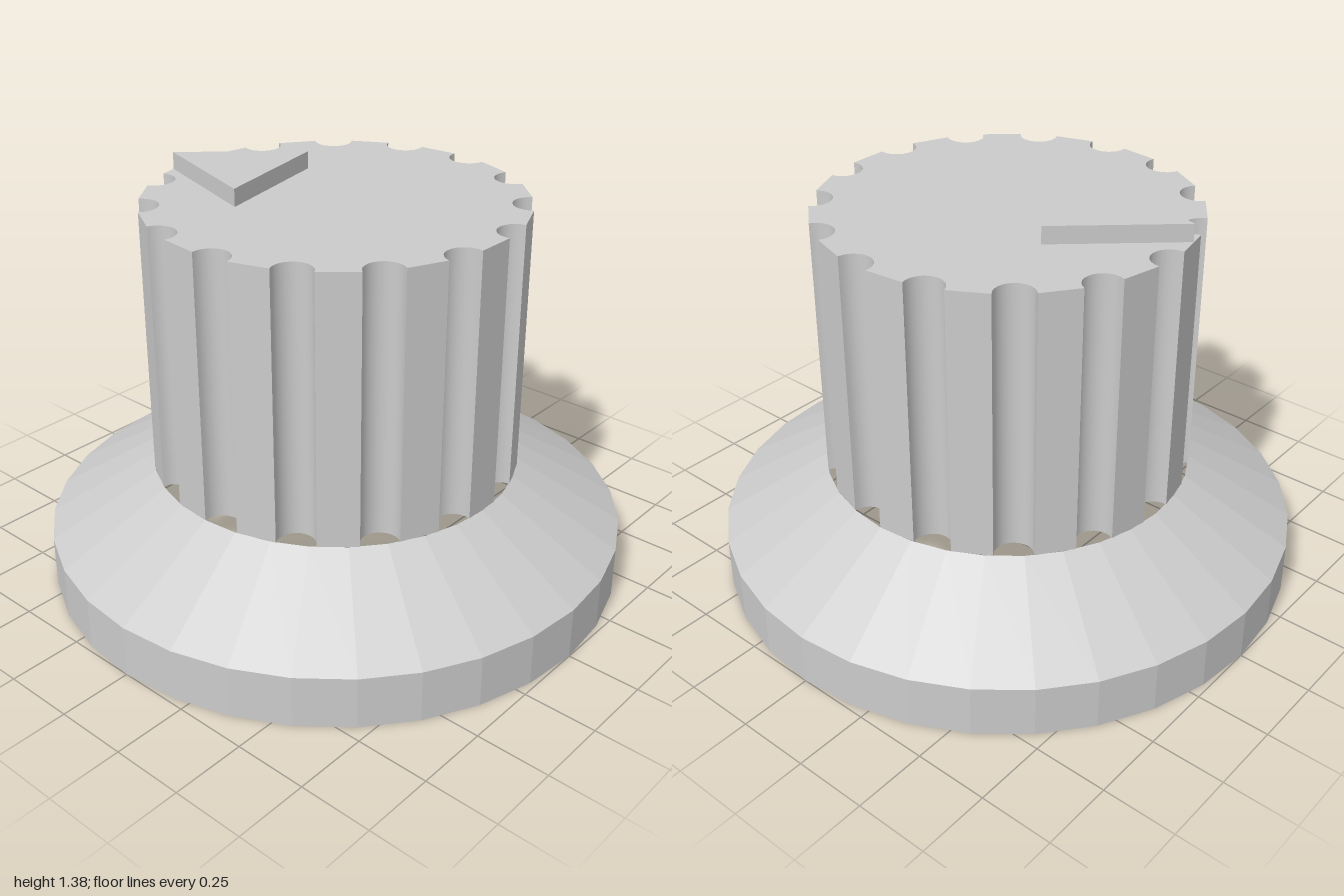
import * as THREE from 'three';
import { toCreasedNormals } from 'three/addons/utils/BufferGeometryUtils.js';

const BASE_Y = 0.4, TOP_Y = 1.32, GRIP_R = 0.635;

// Extrude a plan outline (x, -z) upward from y0 to y1
function extrudeUp(points, y0, y1) {
  const geo = new THREE.ExtrudeGeometry(new THREE.Shape(points), { depth: y1 - y0, bevelEnabled: false });
  return geo.rotateX(-Math.PI / 2).translate(0, y0, 0);
}

// Round outline with evenly spaced circular finger grooves
function flutedOutline(count, R, d, r, steps) {
  const a = Math.acos((d * d + R * R - r * r) / (2 * d * R));
  const phi = Math.atan2(R * Math.sin(a), R * Math.cos(a) - d);
  const points = [];
  for (let i = 0; i < count; i++) {
    const theta = Math.PI / 2 + (i / count) * Math.PI * 2;
    for (let k = 0; k <= steps; k++) {
      const t = theta - phi - (2 * Math.PI - 2 * phi) * (k / steps);
      points.push(new THREE.Vector2(
        d * Math.cos(theta) + r * Math.cos(t),
        d * Math.sin(theta) + r * Math.sin(t)
      ));
    }
  }
  return points;
}

export function createModel() {
  const group = new THREE.Group();
  const add = (name, geo, options = {}) => {
    const mesh = new THREE.Mesh(geo, new THREE.MeshStandardMaterial({ color: 0xcccccc, ...options }));
    mesh.name = name;
    group.add(mesh);
  };

  // Open, thin flared skirt: vertical rim, then a cone up to the grip
  const skirtProfile = [[1, 0], [1, 0.18], [GRIP_R, BASE_Y]].map(p => new THREE.Vector2(...p));
  add('skirt', new THREE.LatheGeometry(skirtProfile, 32), { flatShading: true, side: THREE.DoubleSide });

  // Solid grip with fifteen grooves
  const grip = extrudeUp(flutedOutline(15, GRIP_R, 0.63, 0.065, 12), BASE_Y, TOP_Y);
  add('grip', toCreasedNormals(grip, Math.PI / 6));

  // Raised triangular pointer on the top face
  const pointer = [[-0.14, 0.615], [-0.277, 0.182], [0.17, 0.275]].map(p => new THREE.Vector2(...p));
  add('pointer', extrudeUp(pointer, TOP_Y, 1.38), { flatShading: true });

  return group;
}
